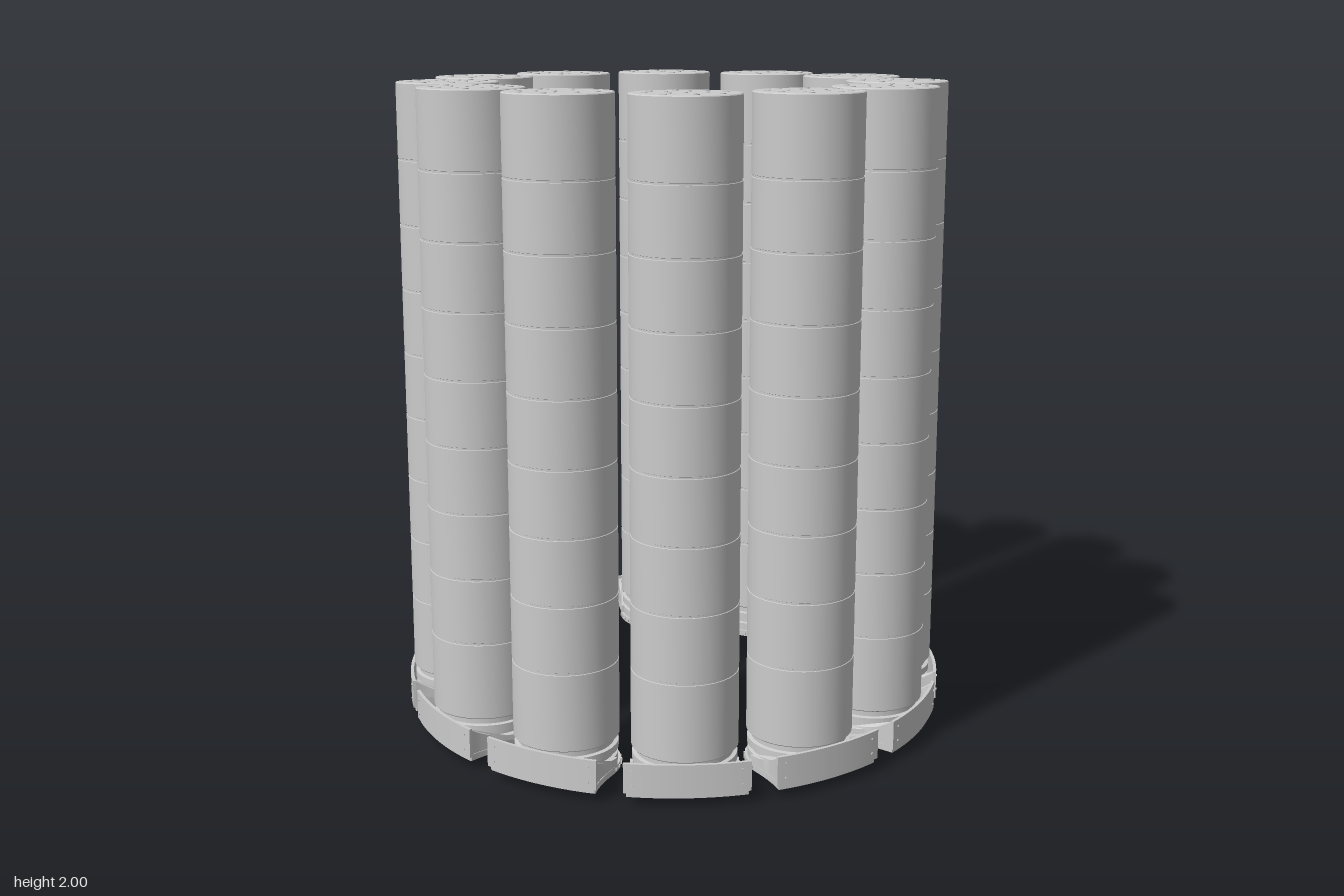
import * as THREE from 'three';
import { toCreasedNormals, mergeGeometries } from 'three/addons/utils/BufferGeometryUtils.js';

const COUNT = 12;         // pods in the ring
const RING = 0.69;        // distance of each tube axis from the centre
const R = 0.157;          // tube radius
const HALF = 0.216;       // half angle of a curved outer panel

const mat = new THREE.MeshStandardMaterial({ color: 0xcccccc });
const v2 = (x, y) => new THREE.Vector2(x, y);
const lathe = (pts, seg) =>
  toCreasedNormals(new THREE.LatheGeometry(pts.map(p => v2(...p)), seg), 0.6);

// Plan shape (x sideways, y outwards) raised from y0 to y1
function slab(shape, y0, y1) {
  const g = new THREE.ExtrudeGeometry(shape, { depth: y1 - y0, bevelEnabled: false, curveSegments: 20 });
  return g.rotateX(Math.PI / 2).translate(0, y1, 0);
}

// Long tube with a narrow groove at every section joint
function tubeGeometry() {
  const pts = [[0, 0.13], [R - 0.003, 0.13], [R, 0.133]];
  for (let i = 0; i < 8; i++) {
    const y = 0.367 + i * 0.2;
    pts.push([R, y - 0.004], [R - 0.002, y - 0.003], [R - 0.002, y + 0.003], [R, y + 0.004]);
  }
  pts.push([R, 1.995], [R - 0.003, 1.998], [0, 1.998]);
  return lathe(pts, 56);
}

// Stepped neck between the base plate and the tube
const neckGeometry = () => lathe([
  [0.152, 0.04], [0.152, 0.07], [0.142, 0.072], [0.142, 0.084], [0.154, 0.086],
  [0.154, 0.108], [0.142, 0.11], [0.142, 0.132],
], 48);

// Flat plate: round on the inside, flaring out to the panel
function plateGeometry() {
  const s = new THREE.Shape();
  const a = Math.PI / 2 - HALF + 0.008;
  s.absarc(0, 0, 0.16, Math.PI, Math.PI * 2, false);
  s.quadraticCurveTo(0.16, 0.09, 0.177, 0.138);
  s.absarc(0, -RING, 0.85, a, Math.PI - a, false);
  s.quadraticCurveTo(-0.16, 0.09, -0.16, 0);
  return toCreasedNormals(slab(s, 0.026, 0.045), 0.6);
}

// Curved outer panel
function panelGeometry() {
  const s = new THREE.Shape();
  const a = Math.PI / 2 - HALF, b = Math.PI / 2 + HALF;
  s.absarc(0, -RING, 0.857, a, b, false);
  s.absarc(0, -RING, 0.847, b, a, true);
  return toCreasedNormals(slab(s, 0.04, 0.13), 0.6);
}

// Flared side web whose top edge slopes down towards the tube
function webGeometry(side) {
  const s = new THREE.Shape();
  s.moveTo(side * 0.16, -0.02);
  s.quadraticCurveTo(side * 0.156, 0.09, side * 0.176, 0.14);
  s.lineTo(side * 0.158, 0.15);
  s.quadraticCurveTo(side * 0.147, 0.09, side * 0.151, -0.02);
  const g = slab(s, 0.04, 0.125);
  const p = g.attributes.position;
  for (let i = 0; i < p.count; i++) {
    if (p.getY(i) > 0.08) {
      const t = THREE.MathUtils.clamp((p.getZ(i) + 0.02) / 0.16, 0, 1);
      p.setY(i, 0.07 + 0.055 * t * t);
    }
  }
  return toCreasedNormals(g, 0.6);
}

// Round outlet under the plate with a recessed centre
const outletGeometry = () => lathe([
  [0, 0.02], [0.028, 0.02], [0.034, 0.006], [0.042, 0], [0.056, 0], [0.06, 0.004],
  [0.06, 0.014], [0.07, 0.016], [0.07, 0.028],
], 28);

// Caps on the tube top: eight large ones, five small ones
function topBoltGeometry() {
  const list = [];
  const add = (n, radius, size, start) => {
    for (let i = 0; i < n; i++) {
      const a = start + i * Math.PI * 2 / n;
      list.push(new THREE.CylinderGeometry(size, size, 0.004, 8)
        .translate(Math.sin(a) * radius, 1.998, Math.cos(a) * radius));
    }
  };
  add(8, 0.115, 0.009, 0.2);
  add(5, 0.06, 0.005, 0.4);
  add(1, 0.012, 0.005, 0);
  return mergeGeometries(list);
}

// Small bolts round the inner rim of the plate
function rimBoltGeometry() {
  const list = [];
  for (let i = 0; i < 20; i++) {
    const a = Math.PI / 2 + (i + 0.5) * Math.PI / 20;
    list.push(new THREE.BoxGeometry(0.008, 0.008, 0.006)
      .translate(0, 0.036, 0.161).rotateY(a));
  }
  return mergeGeometries(list);
}

// Two bolts at each end of the outer panel
function panelBoltGeometry() {
  const list = [];
  for (const a of [-0.185, 0.185]) for (const y of [0.062, 0.108]) {
    list.push(new THREE.CylinderGeometry(0.004, 0.004, 0.004, 8).rotateX(Math.PI / 2)
      .translate(0, y, 0.858).rotateY(a).translate(0, 0, -RING));
  }
  return mergeGeometries(list);
}

export function createModel() {
  const model = new THREE.Group();
  model.name = 'tubeRing';

  const doubleMat = mat.clone();
  doubleMat.side = THREE.DoubleSide;

  const parts = {
    tube: tubeGeometry(),
    neck: neckGeometry(),
    basePlate: plateGeometry(),
    outerPanel: panelGeometry(),
    leftWeb: webGeometry(1),
    rightWeb: webGeometry(-1),
    outlet: outletGeometry(),
    topBolts: topBoltGeometry(),
    rimBolts: rimBoltGeometry(),
    panelBolts: panelBoltGeometry(),
  };
  const open = ['neck', 'outlet', 'leftWeb', 'rightWeb'];

  // Each pod is built facing +z, then turned into its place on the ring
  for (let i = 0; i < COUNT; i++) {
    const pod = new THREE.Group();
    pod.name = `pod${i + 1}`;
    const angle = (i + 0.5) * Math.PI * 2 / COUNT;
    pod.rotation.y = angle;
    pod.position.set(Math.sin(angle) * RING, 0, Math.cos(angle) * RING);
    for (const [name, geometry] of Object.entries(parts)) {
      const mesh = new THREE.Mesh(geometry, open.includes(name) ? doubleMat : mat);
      mesh.name = name;
      pod.add(mesh);
    }
    model.add(pod);
  }
  return model;
}
